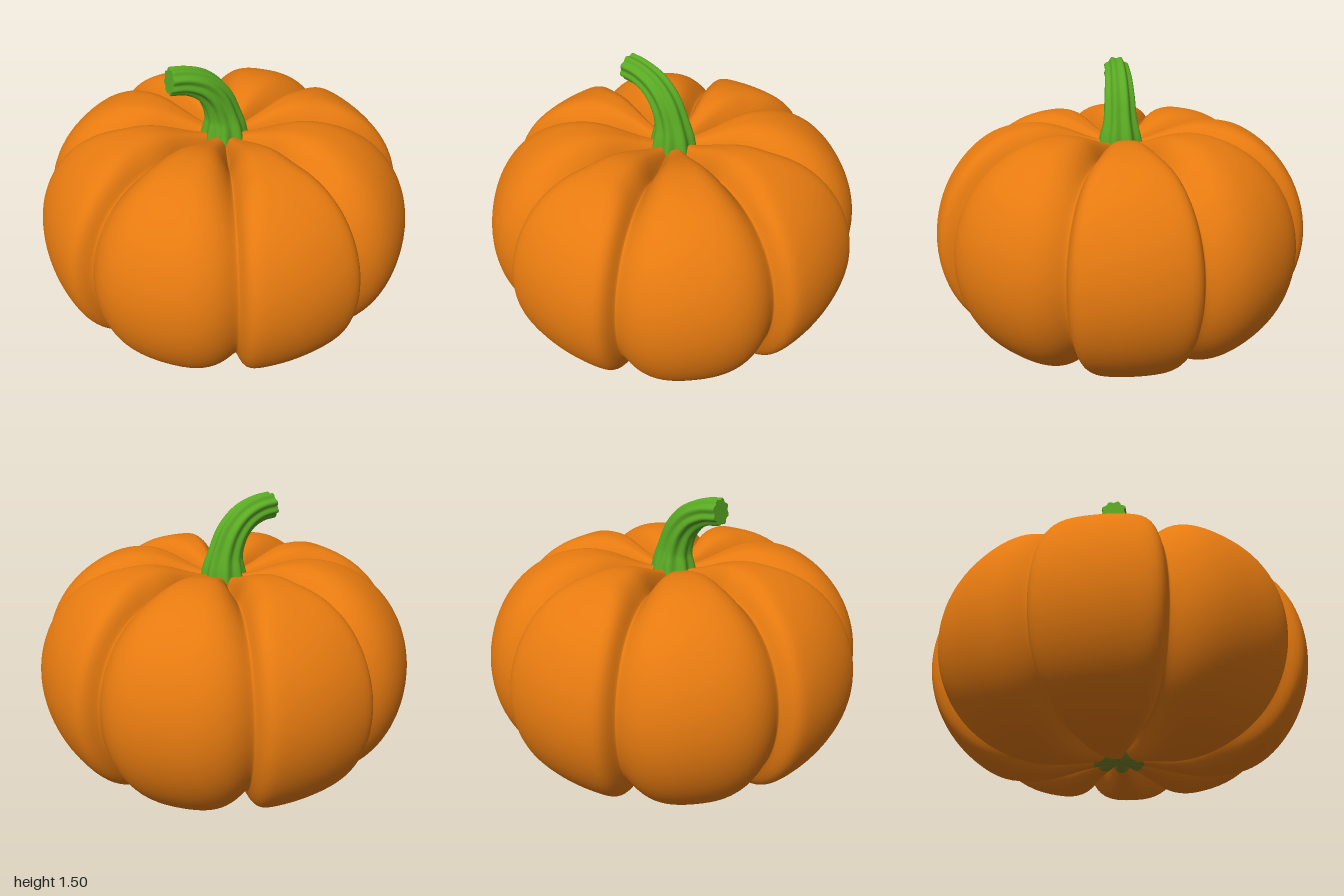
import * as THREE from 'three';

const RIB_EDGE = 20.4 * Math.PI / 180; // groove angle either side of each main axis
const QUARTER = Math.PI / 2;

// Closed-around surface from rings of points, ordered top to bottom
function ringSurface(rings) {
  const n = rings[0].length;
  const index = [];
  for (let i = 0; i < rings.length - 1; i++) {
    for (let j = 0; j < n; j++) {
      const a = i * n + j, b = a + n;
      const a2 = i * n + (j + 1) % n, b2 = a2 + n;
      index.push(a, b, b2, a, b2, a2);
    }
  }
  const geo = new THREE.BufferGeometry();
  geo.setAttribute('position', new THREE.Float32BufferAttribute(rings.flat(2), 3));
  geo.setIndex(index);
  geo.computeVertexNormals();
  return geo;
}

// Angles around the body, packed closely beside the grooves.
// u is 0 in a groove and 1 on the crest of a rib.
function ribAngles() {
  const list = [];
  const steps = 14;
  const wide = Math.PI / 4 - RIB_EDGE;
  for (let q = 0; q < 4; q++) {
    const add = (angle, u, narrow) => list.push({ angle: q * QUARTER + angle, u, narrow });
    const ease = k => Math.pow(k / steps, 1.7);
    for (let k = steps; k > 0; k--) add(RIB_EDGE * (1 - ease(k)), ease(k), true);
    for (let k = 0; k < steps; k++) add(RIB_EDGE + wide * ease(k), ease(k), false);
    for (let k = steps; k > 0; k--) add(QUARTER - RIB_EDGE - wide * ease(k), ease(k), false);
    for (let k = 0; k < steps; k++) add(QUARTER - RIB_EDGE + RIB_EDGE * ease(k), ease(k), true);
  }
  return list;
}

// Meridian of the body: dimple, round flank, dimple
function bodyProfile() {
  const rows = [];
  const R = 0.45, mid = 0.599, h = 0.597, inner = 14, outer = 48;
  const dimple = (rho, depth) => depth * (1 - Math.cos(Math.PI * (1 - rho / R))) / 2;
  for (let i = 0; i < inner; i++) {
    const rho = Math.max(0.001, R * i / inner);
    rows.push([rho, mid + h - dimple(rho, 0.11)]);
  }
  for (let i = 0; i <= outer; i++) {
    const t = Math.PI / 2 - Math.PI * i / outer;
    rows.push([R + 0.55 * Math.cos(t), mid + h * Math.sin(t)]);
  }
  for (let i = inner - 1; i >= 0; i--) {
    const rho = Math.max(0.001, R * i / inner);
    rows.push([rho, mid - h + dimple(rho, 0.07)]);
  }
  return rows;
}

function bodyGeometry() {
  const profile = bodyProfile();
  const angles = ribAngles();
  const rings = profile.map(([rho, y], i) => {
    const p = profile[Math.max(0, i - 1)], q = profile[Math.min(profile.length - 1, i + 1)];
    const len = Math.hypot(q[0] - p[0], q[1] - p[1]);
    const nr = (p[1] - q[1]) / len, ny = (q[0] - p[0]) / len; // outward normal
    const side = THREE.MathUtils.smoothstep(rho, 0.5, 0.95);
    const depth = (0.115 - 0.03 * side) * THREE.MathUtils.smoothstep(rho, 0.0, 0.3);
    return angles.map(({ angle, u, narrow }) => {
      // Grooves are soft near the poles and steep on the narrow ribs' flanks
      const power = THREE.MathUtils.lerp(3.2, narrow ? 12 : 3.6, side);
      const soft = Math.sqrt(u * u + 0.0016) - 0.04 * (1 - u);
      const d = depth * Math.pow(Math.max(0, 1 - soft), power);
      const r = Math.max(0.0005, rho - nr * d);
      return [r * Math.sin(angle), y - ny * d, r * Math.cos(angle)];
    });
  });
  const geo = ringSurface(rings);
  // Blossom end: the innermost rows underneath
  const perRow = angles.length * 6;
  const split = (profile.length - 1 - 4) * perRow;
  geo.addGroup(0, split, 0);
  geo.addGroup(split, 4 * perRow, 1);
  return geo;
}

function stemGeometry() {
  // x, y along the bend; the third value is the half width
  const path = new THREE.CatmullRomCurve3([
    [-0.296, 1.436, 0.069], [-0.21, 1.424, 0.07], [-0.12, 1.383, 0.076],
    [-0.05, 1.305, 0.083], [-0.01, 1.2, 0.092], [0, 1.13, 0.11], [0, 1.04, 0.128],
  ].map(p => new THREE.Vector3(...p)));
  const sides = 64, steps = 32;
  const ring = (t, scale) => {
    const c = path.getPoint(t), d = path.getTangent(t);
    const len = Math.hypot(d.x, d.y);
    const sx = -d.y / len, sy = d.x / len;
    return Array.from({ length: sides }, (_, j) => {
      const a = j / sides * Math.PI * 2;
      const flute = 0.95 + 0.09 * Math.cos(8 * a + Math.PI);
      const r = c.z * flute * scale;
      const s = r * Math.sin(a);
      return [c.x + sx * s, c.y + sy * s, r * Math.cos(a)];
    });
  };
  // Flat cut end, then the fluted stalk
  const rings = [ring(0, 0), ring(0, 0.97)];
  rings.push(ring(0, 0.97));
  for (let i = 0; i <= steps; i++) rings.push(ring(0.015 + 0.985 * i / steps, 1));
  return ringSurface(rings);
}

export function createModel() {
  const orange = new THREE.MeshStandardMaterial({ color: 0xe67a10 });
  orange.name = 'orange skin';
  const green = new THREE.MeshStandardMaterial({ color: 0x5aaa24 });
  green.name = 'stem green';
  const olive = new THREE.MeshStandardMaterial({ color: 0x7a8428 });
  olive.name = 'olive blossom end';

  const model = new THREE.Group();
  model.name = 'pumpkin';

  const body = new THREE.Mesh(bodyGeometry(), [orange, olive]);
  body.name = 'ribbedBody';

  const stem = new THREE.Mesh(stemGeometry(), green);
  stem.name = 'stem';

  model.add(body, stem);
  return model;
}
